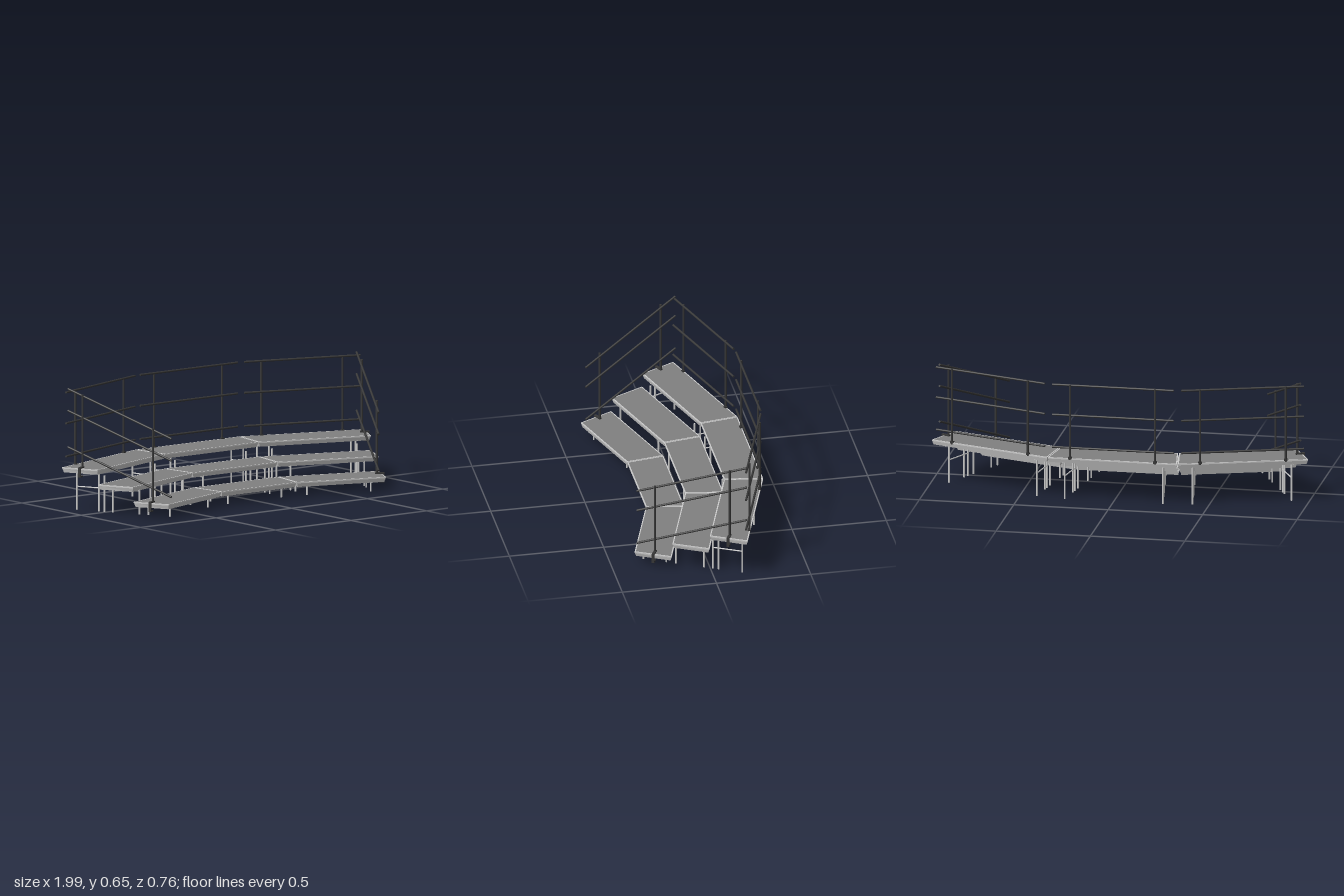
import * as THREE from 'three';

const light = new THREE.MeshStandardMaterial({ color: 0xcccccc });
const deckMat = new THREE.MeshStandardMaterial({ color: 0x808080 });
const dark = new THREE.MeshStandardMaterial({ color: 0x383838 });

const CENTRE_Z = 1.794;                 // centre of the arc the stand follows
const HALF = THREE.MathUtils.degToRad(9); // half the angle of one section
const TIERS = [
  { inner: 1.566, outer: 1.768, top: 0.077 },
  { inner: 1.768, outer: 1.970, top: 0.154 },
  { inner: 1.968, outer: 2.174, top: 0.231 },
];
const halfWidth = (r) => r * Math.tan(HALF);

function add(parent, name, geometry, material) {
  const mesh = new THREE.Mesh(geometry, material);
  mesh.name = name;
  parent.add(mesh);
  return mesh;
}

// Round bar between two points
function bar(parent, name, a, b, radius, material) {
  const from = new THREE.Vector3(...a), to = new THREE.Vector3(...b);
  const dir = to.clone().sub(from);
  const mesh = add(parent, name, new THREE.CylinderGeometry(radius, radius, dir.length(), 12), material);
  mesh.position.copy(from).add(to).multiplyScalar(0.5);
  mesh.quaternion.setFromUnitVectors(new THREE.Vector3(0, 1, 0), dir.normalize());
}

function box(parent, name, size, position, material) {
  add(parent, name, new THREE.BoxGeometry(...size), material).position.set(...position);
}

// Corners of a wedge-shaped platform, shrunk by an inset
function wedge(tier, inset) {
  const r0 = tier.inner + inset, r1 = tier.outer - inset;
  const w0 = halfWidth(r0) - inset, w1 = halfWidth(r1) - inset;
  return [[-w0, r0], [w0, r0], [w1, r1], [-w1, r1]].map((p) => new THREE.Vector2(...p));
}

function slab(tier, inset, depth, holeInset) {
  const shape = new THREE.Shape(wedge(tier, inset));
  if (holeInset) shape.holes.push(new THREE.Path(wedge(tier, holeInset).reverse()));
  return new THREE.ExtrudeGeometry(shape, { depth, bevelEnabled: false }).rotateX(-Math.PI / 2);
}

// Deck panel, edge trim and tapered frame
function buildPlatform(parent, tier) {
  add(parent, 'deckPanel', slab(tier, 0.008, 0.006), deckMat).position.y = tier.top - 0.006;
  add(parent, 'deckTrim', slab(tier, 0.002, 0.007, 0.008), light).position.y = tier.top - 0.007;

  const frame = slab(tier, 0.003, 0.02, 0.014);
  const p = frame.attributes.position, mid = -(tier.inner + tier.outer) / 2;
  for (let i = 0; i < p.count; i++) {
    if (p.getY(i) > 0.01) continue;
    p.setX(i, p.getX(i) - Math.sign(p.getX(i)) * 0.006);
    p.setZ(i, p.getZ(i) - Math.sign(p.getZ(i) - mid) * 0.006);
  }
  frame.computeVertexNormals();
  add(parent, 'deckFrame', frame, light).position.y = tier.top - 0.027;
}

// Two leg frames per platform, one near each end
function buildLegs(parent, tier, level) {
  const front = tier.inner + (level === 1 ? 0.012 : 0.04), back = tier.outer - 0.04;
  const under = tier.top - 0.008;
  for (const side of [-1, 1]) {
    const at = (r, y) => [side * (halfWidth(r) - 0.078), y, -r];
    for (const r of [front, back]) bar(parent, 'leg', at(r, 0), at(r, under), 0.005, light);
    bar(parent, 'legTopBar', at(tier.inner + 0.008, tier.top - 0.024), at(tier.outer - 0.008, tier.top - 0.024), 0.004, light);
    if (level === 0) continue;
    bar(parent, 'legCrossBar', at(front, 0.123), at(back, 0.123), 0.0035, light);
    if (level === 2) {
      const r = tier.inner + 0.009;
      bar(parent, 'frontLeg', at(r, 0), at(r, 0.19), 0.005, light);
      bar(parent, 'frontLegLink', at(r, 0.123), at(front, 0.123), 0.0035, light);
    }
  }
}

// Straight guard rail along the back of one section
function buildBackRail(parent) {
  for (const y of [0.286, 0.461, 0.624])
    bar(parent, 'backRail', [-0.322, y, -2.161], [0.322, y, -2.161], 0.0058, dark);
  for (const x of [-0.225, 0.225]) {
    bar(parent, 'backPost', [x, 0.222, -2.168], [x, 0.628, -2.168], 0.0058, dark);
    box(parent, 'postClamp', [0.018, 0.012, 0.014], [x, 0.232, -2.166], dark);
  }
}

// Sloping rails, posts and edge clamps along one outer end
function buildEndRail(parent, side) {
  for (const y of [0.11, 0.302, 0.417])
    bar(parent, 'slopingRail', [-side * 0.04, y, -1.589], [-side * 0.04, y + 0.223, -2.183], 0.0058, dark);
  for (const [r, deck, top] of [[1.69, 0.077, 0.466], [2.094, 0.231, 0.617]]) {
    bar(parent, 'endPost', [-side * 0.03, deck, -r], [-side * 0.03, top, -r], 0.006, dark);
    box(parent, 'clampTop', [0.048, 0.007, 0.014], [-side * 0.014, deck + 0.004, -r], dark);
    box(parent, 'clampPlate', [0.007, 0.048, 0.014], [side * 0.007, deck - 0.018, -r], dark);
    box(parent, 'clampFoot', [0.03, 0.007, 0.014], [-side * 0.006, deck - 0.042, -r], dark);
  }
}

function arcGroup(parent, name, angle) {
  const group = new THREE.Group();
  group.name = name;
  group.position.z = CENTRE_Z;
  group.rotation.y = -angle;
  parent.add(group);
  return group;
}

export function createModel() {
  const model = new THREE.Group();
  model.name = 'tieredStand';
  ['rightSection', 'centreSection', 'leftSection'].forEach((name, i) => {
    const section = arcGroup(model, name, (i - 1) * 2 * HALF);
    TIERS.forEach((tier, level) => {
      buildPlatform(section, tier);
      buildLegs(section, tier, level);
    });
    buildBackRail(section);
  });
  for (const side of [-1, 1])
    buildEndRail(arcGroup(model, side < 0 ? 'rightEndRail' : 'leftEndRail', side * 3 * HALF), side);
  return model;
}
